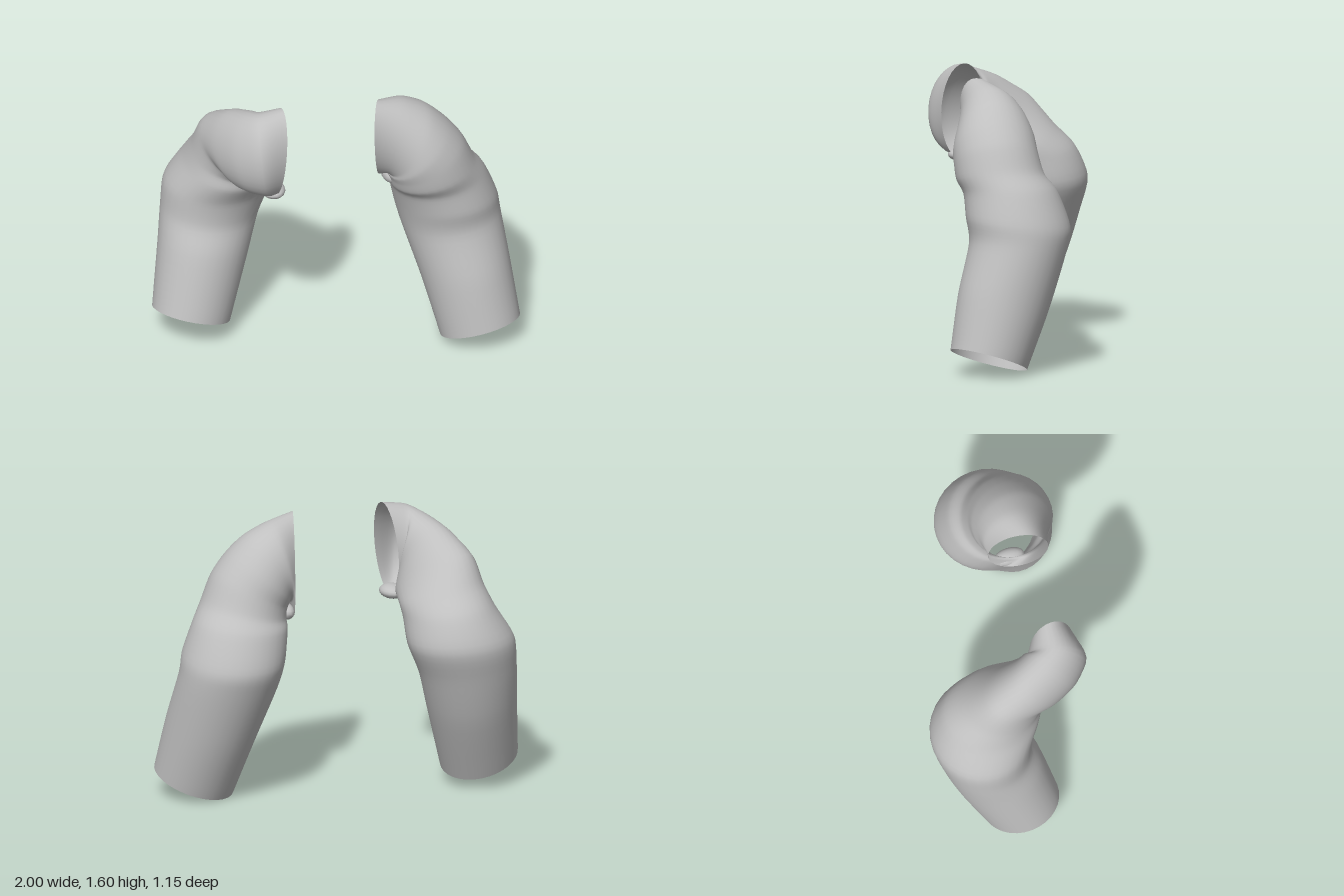
import * as THREE from 'three';

const cloth = new THREE.MeshStandardMaterial({ color: 0xc0c0c0, side: THREE.DoubleSide });
cloth.name = 'grey cloth';

// Each section: ring centre, half axis across the sleeve, half axis front to back
const leftSections = [
  [[0.775, 0.083, 0.355], [0.225, 0.045, 0], [0, -0.07, -0.215]],
  [[0.72, 0.40, 0.255], [0.25, 0.035, 0], [0, -0.06, -0.255]],
  [[0.66, 0.70, 0.155], [0.28, 0.025, 0], [0, -0.03, -0.275]],
  [[0.63, 0.84, 0.145], [0.29, 0.01, 0], [0, -0.03, -0.295]],
  [[0.575, 1.0, 0.175], [0.27, 0.03, 0], [0, 0, -0.265]],
  [[0.53, 1.08, 0.22], [0.24, 0.06, 0], [0, 0, -0.25]],
  [[0.49, 1.175, 0.235], [0.21, 0.11, 0], [0, 0, -0.24]],
  [[0.44, 1.245, 0.235], [0.17, 0.155, 0], [0, 0, -0.235]],
  [[0.385, 1.30, 0.23], [0.115, 0.20, 0], [0, 0, -0.215]],
  [[0.31, 1.33, 0.215], [0.05, 0.235, 0.02], [0.02, 0, -0.185]],
  [[0.225, 1.32, 0.20], [-0.03, 0.275, 0.07], [0.06, 0, -0.14]],
];
const rightSections = [
  [[-0.78, 0.135, -0.12], [-0.22, 0.065, 0], [0, 0.05, 0.22]],
  [[-0.685, 0.50, -0.22], [-0.255, 0.05, 0], [0, 0.05, 0.255]],
  [[-0.63, 0.72, -0.28], [-0.278, 0.025, 0], [0, 0, 0.265]],
  [[-0.583, 0.89, -0.285], [-0.302, 0.015, 0], [0, -0.01, 0.29]],
  [[-0.545, 1.04, -0.215], [-0.255, 0.02, 0], [0, -0.04, 0.28]],
  [[-0.53, 1.13, -0.15], [-0.23, 0.03, 0], [0.02, -0.07, 0.23]],
  [[-0.535, 1.22, -0.05], [-0.195, 0.04, -0.03], [0.03, -0.14, 0.19]],
  [[-0.535, 1.28, 0.06], [-0.16, 0, 0.02], [0.03, -0.20, 0.12]],
  [[-0.50, 1.31, 0.15], [-0.12, 0, 0.10], [0.02, -0.23, 0.06]],
  [[-0.45, 1.32, 0.205], [-0.05, 0, 0.16], [0.02, -0.25, 0.02]],
  [[-0.36, 1.32, 0.20], [0.01, 0, 0.13], [-0.025, -0.275, 0]],
];

// Open tube lofted smoothly through the elliptical sections
function sleeveGeometry(sections, sides = 32, rings = 50) {
  const [centre, across, depth] = [0, 1, 2].map(
    (k) => new THREE.CatmullRomCurve3(sections.map((s) => new THREE.Vector3(...s[k])), false, 'catmullrom', 0.4));
  const positions = [];
  const index = [];
  for (let i = 0; i <= rings; i++) {
    const t = i / rings;
    const c = centre.getPoint(t), u = across.getPoint(t), v = depth.getPoint(t);
    for (let j = 0; j < sides; j++) {
      const a = (j / sides) * Math.PI * 2;
      const p = c.clone().addScaledVector(u, Math.cos(a)).addScaledVector(v, Math.sin(a));
      positions.push(p.x, p.y, p.z);
      if (i === rings) continue;
      const n = (j + 1) % sides;
      const p0 = i * sides + j, p1 = i * sides + n;
      index.push(p0, p1, p1 + sides, p0, p1 + sides, p0 + sides);
    }
  }
  const g = new THREE.BufferGeometry();
  g.setAttribute('position', new THREE.Float32BufferAttribute(positions, 3));
  g.setIndex(index);
  g.computeVertexNormals();
  return g;
}

function addSleeve(group, name, sections, foldAt, foldSize) {
  const part = new THREE.Group();
  part.name = name;
  const tube = new THREE.Mesh(sleeveGeometry(sections), cloth);
  tube.name = name + 'Tube';
  // Small bunched fold of cloth under the shoulder opening
  const fold = new THREE.Mesh(new THREE.SphereGeometry(1, 16, 10), cloth);
  fold.name = name + 'ArmpitFold';
  fold.position.set(...foldAt);
  fold.scale.set(...foldSize);
  part.add(tube, fold);
  group.add(part);
}

export function createModel() {
  const model = new THREE.Group();
  model.name = 'sleeves';
  addSleeve(model, 'leftSleeve', leftSections, [0.30, 1.055, 0.17], [0.05, 0.05, 0.09]);
  addSleeve(model, 'rightSleeve', rightSections, [-0.39, 1.07, 0.19], [0.07, 0.04, 0.09]);
  return model;
}
